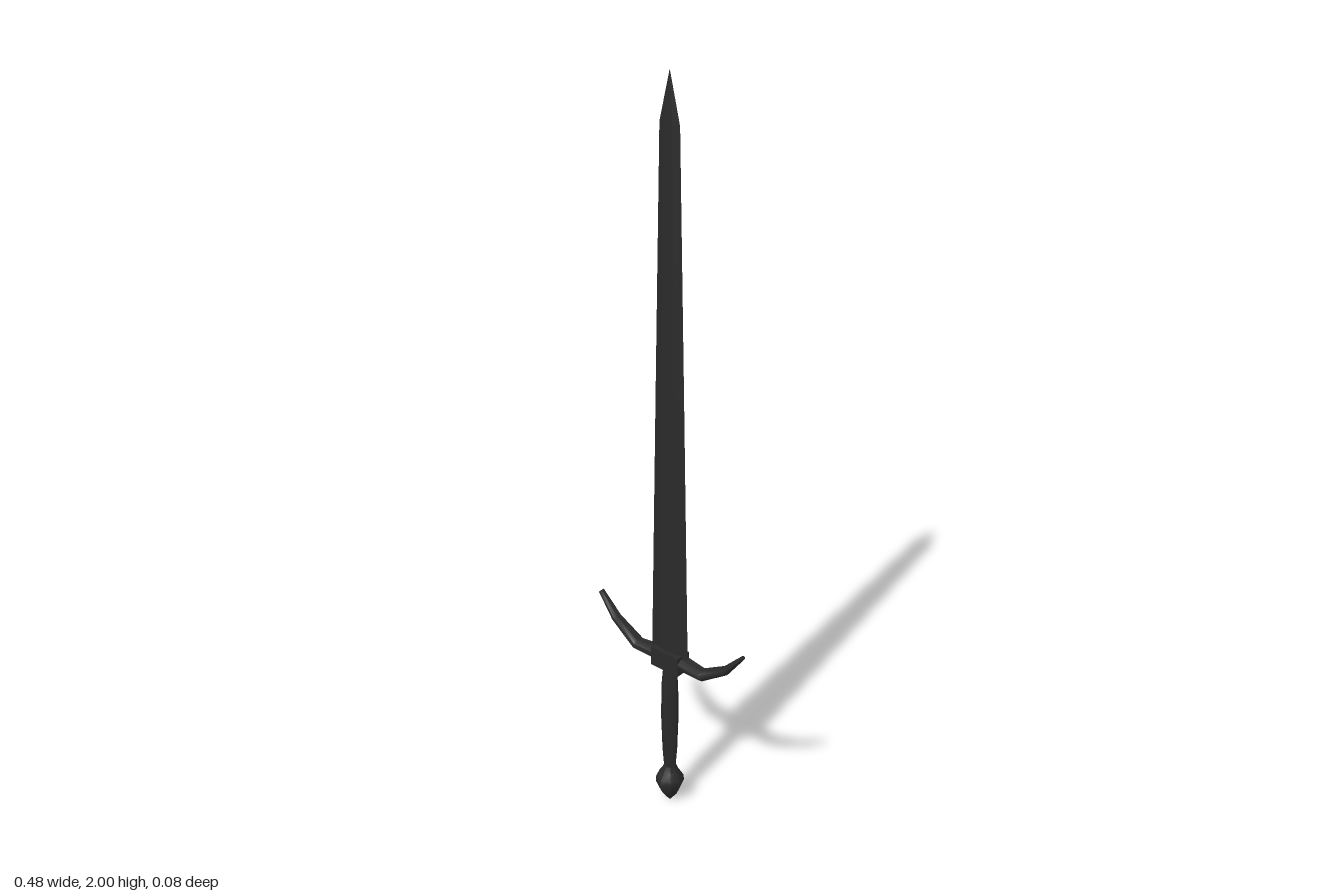
import * as THREE from 'three';
import { toCreasedNormals } from 'three/addons/utils/BufferGeometryUtils.js';

const darkSteel = new THREE.MeshStandardMaterial({ color: 0x2a2a2a });
darkSteel.name = 'darkSteel';

// Skin a list of equal-length rings and close both ends
function loft(rings, crease) {
  const n = rings[0].length, pos = [], idx = [];
  rings.forEach(r => r.forEach(p => pos.push(...p)));
  for (let k = 0; k < rings.length - 1; k++) {
    for (let j = 0; j < n; j++) {
      const a = k * n + j, b = k * n + (j + 1) % n;
      idx.push(a, b, b + n, a, b + n, a + n);
    }
  }
  const last = (rings.length - 1) * n;
  for (let j = 1; j < n - 1; j++) {
    idx.push(0, j + 1, j, last, last + j, last + j + 1);
  }
  const g = new THREE.BufferGeometry();
  g.setAttribute('position', new THREE.Float32BufferAttribute(pos, 3));
  g.setIndex(idx);
  return toCreasedNormals(g, crease);
}

// Elliptical ring in the horizontal plane
function ellipse(y, w, d, n = 8) {
  return Array.from({ length: n }, (_, i) => {
    const a = i / n * Math.PI * 2;
    return [w * Math.cos(a), y, -d * Math.sin(a)];
  });
}

function add(group, name, geometry) {
  const mesh = new THREE.Mesh(geometry, darkSteel);
  mesh.name = name;
  group.add(mesh);
  return mesh;
}

export function createModel() {
  const sword = new THREE.Group();
  sword.name = 'sword';

  // Blade: flattened hexagonal section, tapering to the point
  const blade = [[0.47, 0.06, 0.01], [0.49, 0.06, 0.01], [1.2, 0.045, 0.008],
    [1.88, 0.03, 0.006], [2, 0.0005, 0.0005]];
  add(sword, 'blade', loft(blade.map(([y, w, d]) => [
    [w, y, 0], [w * 0.4, y, -d], [-w * 0.4, y, -d],
    [-w, y, 0], [-w * 0.4, y, d], [w * 0.4, y, d],
  ]), 0.15));

  // Grip: slightly swollen oval handle
  const grip = [[0.1, 0.017, 0.012], [0.17, 0.022, 0.017], [0.28, 0.025, 0.021],
    [0.38, 0.024, 0.019], [0.44, 0.019, 0.014]];
  add(sword, 'grip', loft(grip.map(s => ellipse(...s)), 0.9));

  // Pommel: faceted teardrop
  const pommel = [[0, 0.003], [0.028, 0.024], [0.062, 0.038], [0.078, 0.037],
    [0.1, 0.023], [0.115, 0.017]];
  add(sword, 'pommel', loft(pommel.map(([y, r]) => ellipse(y, r, r)), 0.7));

  // Guard block with a round boss on the back
  const block = add(sword, 'guardBlock', new THREE.BoxGeometry(0.09, 0.054, 0.046));
  block.position.y = 0.461;
  const bossProfile = [[0.03, 0], [0.03, 0.01], [0.019, 0.02], [0, 0.023]]
    .map(p => new THREE.Vector2(...p));
  const boss = add(sword, 'guardBoss', new THREE.LatheGeometry(bossProfile, 10));
  boss.rotation.x = -Math.PI / 2;
  boss.position.set(0, 0.461, -0.02);

  // Guard arms: x, y, half height, half depth, tilt at each station
  const arm = [[0.03, 0.465, 0.018, 0.023, -0.1], [0.11, 0.459, 0.015, 0.018, 0.25],
    [0.185, 0.507, 0.011, 0.013, 0.7], [0.238, 0.569, 0.005, 0.008, 0.86]];
  const armGeometry = loft(arm.map(([x, y, h, d, t]) =>
    Array.from({ length: 8 }, (_, i) => {
      const a = (i + 0.5) / 8 * Math.PI * 2;
      const u = h * Math.cos(a) * 1.08;
      return [x - u * Math.sin(t), y + u * Math.cos(t), d * Math.sin(a) * 1.08];
    })), 0.9);
  add(sword, 'leftGuardArm', armGeometry);
  add(sword, 'rightGuardArm', armGeometry).rotation.y = Math.PI;

  return sword;
}
